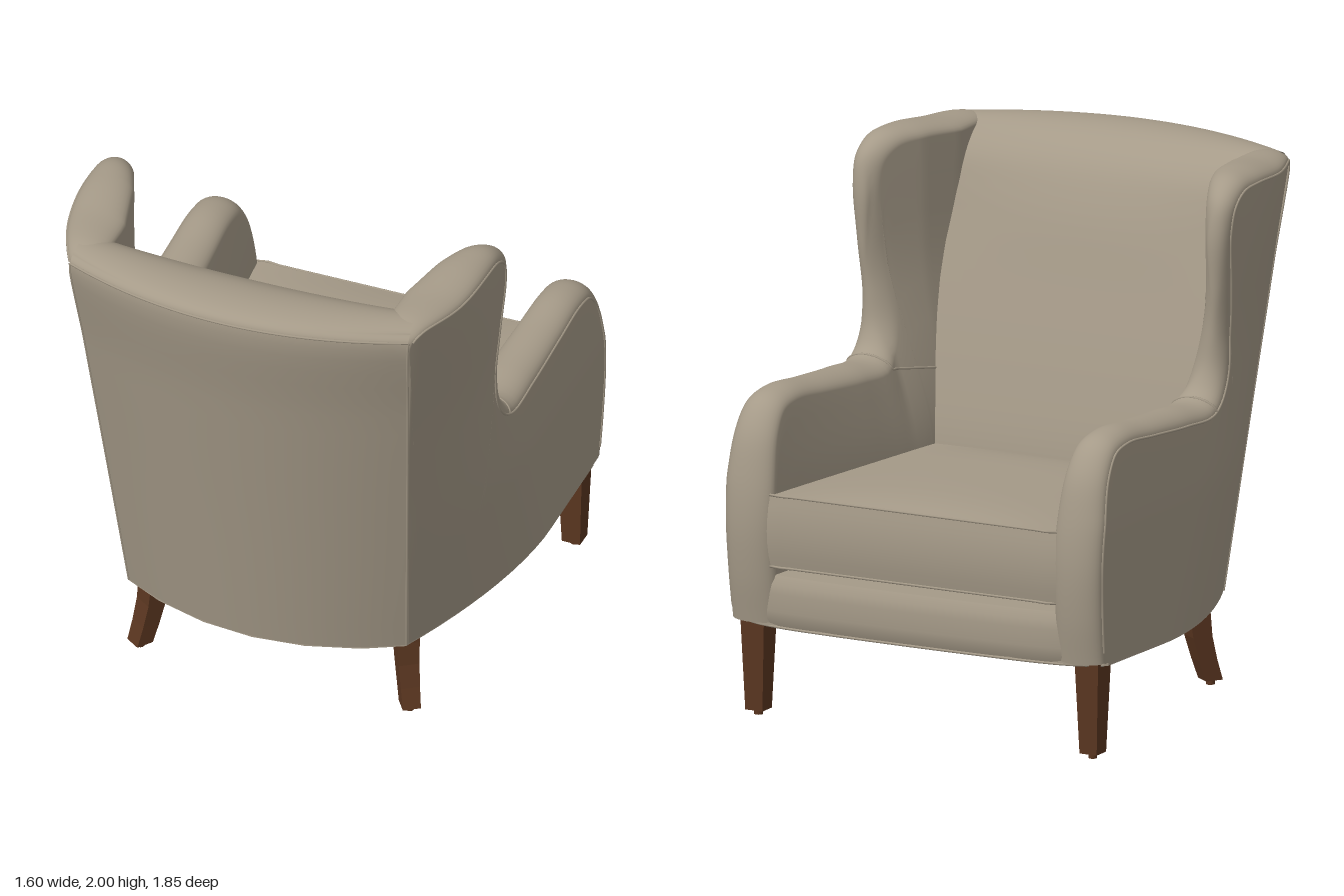
import * as THREE from 'three';

const leather = new THREE.MeshStandardMaterial({ color: 0xa59a88, side: THREE.DoubleSide });
leather.name = 'taupe leather';
const wood = new THREE.MeshStandardMaterial({ color: 0x5a3620 });
wood.name = 'brown wood';

const { lerp, smoothstep, clamp } = THREE.MathUtils;

// Piecewise linear lookup in [key, value] pairs
function table(pairs, k) {
  for (let i = 1; i < pairs.length; i++) {
    const [a, va] = pairs[i - 1], [b, vb] = pairs[i];
    if (k <= b) return lerp(va, vb, clamp((k - a) / (b - a), 0, 1));
  }
  return pairs[pairs.length - 1][1];
}

// Smooth surface from a function of two parameters in 0..1
function surface(nu, nv, fn, flip) {
  const pos = [], idx = [];
  for (let i = 0; i <= nu; i++)
    for (let j = 0; j <= nv; j++) pos.push(...fn(i / nu, j / nv));
  for (let i = 0; i < nu; i++)
    for (let j = 0; j < nv; j++) {
      const a = i * (nv + 1) + j, b = a + nv + 1, c = b + 1, d = a + 1;
      if (flip) idx.push(a, d, b, b, d, c);
      else idx.push(a, b, d, b, c, d);
    }
  const g = new THREE.BufferGeometry();
  g.setAttribute('position', new THREE.Float32BufferAttribute(pos, 3));
  g.setIndex(idx);
  g.computeVertexNormals();
  return g;
}

const curve = (pts) => new THREE.CatmullRomCurve3(pts.map((p) => new THREE.Vector3(...p)));

// Built with the seat facing +z, turned round at the end
const SIDE = [ // outline z, y, edge radius, matching z on the bottom edge
  [-0.48, 0.34, 0.01, -0.44], [-0.62, 1.1, 0.01, -0.43], [-0.72, 1.7, 0.015, -0.42],
  [-0.758, 1.91, 0.02, -0.41], [-0.71, 1.965, 0.03, -0.4], [-0.5, 1.985, 0.045, -0.37],
  [-0.3, 2.0, 0.05, -0.33], [-0.17, 1.985, 0.05, -0.31], [-0.085, 1.92, 0.05, -0.29],
  [-0.053, 1.8, 0.05, -0.27], [-0.06, 1.6, 0.065, -0.25], [-0.075, 1.42, 0.065, -0.23],
  [-0.06, 1.27, 0.065, -0.17], [0, 1.19, 0.055, -0.03], [0.2, 1.19, 0.055, 0.17],
  [0.45, 1.205, 0.05, 0.38], [0.66, 1.22, 0.05, 0.55], [0.78, 1.19, 0.05, 0.66],
  [0.86, 1.09, 0.05, 0.73], [0.905, 0.93, 0.05, 0.78], [0.923, 0.75, 0.05, 0.81],
  [0.912, 0.55, 0.05, 0.83], [0.885, 0.37, 0.045, 0.835],
];
const outline = curve(SIDE.map((p) => [p[0], p[1], p[2]]));
const footLine = curve(SIDE.map((p) => [p[3], 0.34 + 0.025 * (p[3] + 0.5), 0]));

// Outer and inner faces of the arm and wing
function outerX(z, y) {
  const full = table([[0.34, 0.775], [0.9, 0.79], [1.15, 0.775], [1.4, 0.765], [1.9, 0.795]], y);
  const k = clamp((y - 0.34) / 1.59, 0, 1);
  const d = clamp((z - lerp(-0.48, -0.76, k)) / lerp(0.85, 0.5, k), 0, 1);
  return full - (full - lerp(0.55, 0.67, k)) * (1 - d) ** lerp(1.7, 2.4, k);
}
// Inner reach near the top: wings splay and thin forward, arms lean out a little
const INNER_TOP = [[-0.5, 0.555], [-0.3, 0.605], [-0.07, 0.695], [0, 0.665], [0.2, 0.65]];
function innerX(z, y) {
  const low = 0.59 + 0.08 * (z - 0.9);
  const high = Math.max(low, table(INNER_TOP, z));
  return Math.min(lerp(low, high, smoothstep(y, 0.75, 1.6)), outerX(z, y) - 0.04);
}

// Point on an arm and wing: s runs along the outline, k goes up the outer face, over the rim, down inside
const K1 = 0.3, K2 = 0.7;
function sidePoint(s, k, sign) {
  const p = outline.getPoint(s), b = footLine.getPoint(s);
  const q0 = outline.getPoint(Math.max(0, s - 0.004)), q1 = outline.getPoint(Math.min(1, s + 0.004));
  const n = new THREE.Vector2(q0.y - q1.y, q1.x - q0.x).normalize();
  const r = p.z, iz = p.x - n.x * r, iy = p.y - n.y * r;
  const a = clamp((k - K1) / (K2 - K1), 0, 1) * Math.PI;
  const v = k < K1 ? k / K1 : k > K2 ? (1 - k) / (1 - K2) : 1;
  const z = lerp(b.x, iz, v) + n.x * r * Math.sin(a);
  const y = lerp(b.y, iy, v) + n.y * r * Math.sin(a);
  const o = outerX(z, y), i = innerX(z, y);
  return [sign * ((o + i) / 2 + ((o - i) / 2) * Math.cos(a)), y, z];
}

// Seam between arm and wing: over the rim, then back along the inner face
function wingSeamPoint(t, sign) {
  if (t <= 0.6) return sidePoint(13 / 22, lerp(K1, K2, t / 0.6), sign);
  const [, y0, z0] = sidePoint(13 / 22, K2, sign);
  const q = (t - 0.6) / 0.4, z = lerp(z0, -0.27, q), y = lerp(y0, 1.1, q);
  return [sign * innerX(z, y), y, z];
}

// Backrest loop: z, y, half width, share of the rear bow
const BACK = [
  [-0.2, 0.4, 0.52, 0], [-0.2, 0.8, 0.54, 0], [-0.27, 1.1, 0.6, 0], [-0.38, 1.45, 0.64, 0],
  [-0.47, 1.72, 0.66, 0], [-0.56, 1.88, 0.66, 0.2], [-0.68, 1.965, 0.66, 0.5], [-0.8, 1.985, 0.66, 0.8],
  [-0.895, 1.965, 0.668, 1], [-0.92, 1.935, 0.67, 1], [-0.85, 1.53, 0.64, 1],
  [-0.745, 0.94, 0.595, 1], [-0.64, 0.34, 0.55, 1],
];
const backLoop = curve(BACK.map((p) => [p[0], p[1], p[2]]));
const backBow = curve(BACK.map((p) => [p[3], 0, 0]));
function backPoint(u, v) {
  const p = backLoop.getPoint(v), w = 2 * u - 1;
  const top = smoothstep(p.y, 1.8, 1.95);
  return [w * p.z, p.y - 0.015 * top * w * w, p.x + 0.16 * backBow.getPoint(v).x * w * w];
}

// Seat cushion: unit cube coordinates to a tapered, crowned pad, higher at the front
function cushionPoint(u, h, w) {
  const z = lerp(-0.22, 0.885, (w + 1) / 2);
  const bulge = 0.015 * (1 - h * h);
  const half = 0.6 + 0.08 * (z - 0.9);
  const crown = (1 - u * u) * (1 - w ** 4);
  const y = 0.71 + 0.015 * w + h * 0.135 + (h > 0 ? 0.035 * crown * h : 0);
  return [u * (half + bulge), y, z + w * bulge];
}

function mappedBox(nx, ny, nz, fn) {
  const g = new THREE.BoxGeometry(2, 2, 2, nx, ny, nz), p = g.attributes.position;
  for (let i = 0; i < p.count; i++) p.setXYZ(i, ...fn(p.getX(i), p.getY(i), p.getZ(i)));
  g.computeVertexNormals();
  return g;
}

// Square leg lofted through [x, y, z, half width]
function legGeometry(sections) {
  const pos = [], idx = [], n = sections.length;
  for (const [x, y, z, h] of sections)
    for (const [a, b] of [[-1, -1], [-1, 1], [1, 1], [1, -1]]) pos.push(x + a * h, y, z + b * h);
  for (let i = 0; i < n - 1; i++)
    for (let j = 0; j < 4; j++) {
      const a = i * 4 + j, b = i * 4 + ((j + 1) % 4);
      idx.push(a, b, a + 4, b, b + 4, a + 4);
    }
  const e = (n - 1) * 4;
  idx.push(0, 2, 1, 0, 3, 2, e, e + 1, e + 2, e, e + 2, e + 3);
  let g = new THREE.BufferGeometry();
  g.setAttribute('position', new THREE.Float32BufferAttribute(pos, 3));
  g.setIndex(idx);
  g = g.toNonIndexed();
  g.computeVertexNormals();
  return g;
}

export function createModel() {
  const group = new THREE.Group();
  group.name = 'armchairBody';
  const add = (name, geometry, material = leather) => {
    const m = new THREE.Mesh(geometry, material);
    m.name = name;
    group.add(m);
    return m;
  };
  const piping = (name, fn, n, closed = false) => {
    const pts = Array.from({ length: n + 1 }, (_, i) => fn(i / n));
    if (closed) pts.pop();
    const c = new THREE.CatmullRomCurve3(pts.map((p) => new THREE.Vector3(...p)), closed);
    add(name, new THREE.TubeGeometry(c, n * 2, 0.005, 6, closed));
  };

  // Backrest with its top welt
  add('backrest', surface(24, 72, backPoint));
  piping('backTopPiping', (t) => backPoint(t, 9 / 12), 20);

  // Arms with wings, seams and legs on both sides
  for (const sign of [1, -1]) {
    const side = sign > 0 ? 'left' : 'right';
    add(side + 'ArmAndWing', surface(132, 40, (s, k) => sidePoint(s, k, sign), sign > 0));
    piping(side + 'OuterPiping', (t) => sidePoint(lerp(0.14, 0.99, t), K1, sign), 90);
    piping(side + 'WingSeam', (t) => wingSeamPoint(t, sign), 20);
    piping(side + 'BackSeam', (t) => backPoint((sign + 1) / 2, lerp(9 / 12, 1, t)), 20);

    add(side + 'FrontLeg', legGeometry([[sign * 0.7, 0.02, 0.79, 0.036], [sign * 0.7, 0.39, 0.79, 0.05]]), wood);
    const rear = add(side + 'RearLeg', legGeometry([
      [0, 0.02, -0.06, 0.034], [0, 0.1, -0.034, 0.036], [0, 0.19, -0.01, 0.039],
      [0, 0.28, 0.002, 0.042], [0, 0.36, 0.004, 0.043]]), wood);
    rear.position.set(sign * 0.5, 0, -0.36);
    rear.rotation.y = -sign * 0.61;
    for (const [x, z] of [[0.7, 0.79], [0.534, -0.409]]) {
      const glide = add(side + 'LegGlide', new THREE.CylinderGeometry(0.016, 0.016, 0.03, 12), wood);
      glide.position.set(sign * x, 0.015, z);
    }
  }

  // Loose seat cushion with welts round both edges
  add('seatCushion', mappedBox(20, 6, 20, cushionPoint));
  for (const h of [1, -1])
    piping(h > 0 ? 'cushionTopPiping' : 'cushionBottomPiping', (t) => {
      const a = t * 4, i = Math.floor(a) % 4, f = 2 * (a - Math.floor(a)) - 1;
      return cushionPoint(...[[f, h, 1], [1, h, -f], [-f, h, -1], [-1, h, f]][i]);
    }, 48, true);

  // Front rail, bowed and wrapped at the ends
  const railFront = (u) => 0.905 - 0.02 * u * u - 0.06 * u ** 8;
  add('frontRail', mappedBox(24, 6, 2, (u, h, w) => [
    u * 0.755, 0.455 + h * 0.1,
    w < 0.5 ? lerp(0.6, 0.72, w + 1) : railFront(u) - 0.02 * h ** 4]));
  piping('railPiping', (t) => [(2 * t - 1) * 0.755, 0.36, railFront(2 * t - 1) - 0.015], 24);

  // Underside panel following the plan of the body
  const plan = [];
  for (let i = 0; i <= 16; i++) {
    const z = lerp(-0.48, 0.8, i / 16);
    plan.push([outerX(z, 0.35) - 0.004, z]);
  }
  plan.push([0.745, 0.82], [0.66, 0.865], [0.4, 0.885], [0, 0.89]);
  const half = [[0, -0.635], [0.2, -0.615], [0.4, -0.555], ...plan];
  const pts = [...half, ...half.slice(1, -1).reverse().map(([x, z]) => [-x, z])];
  const base = new THREE.ExtrudeGeometry(new THREE.Shape(pts.map((p) => new THREE.Vector2(...p))),
    { depth: 0.03, bevelEnabled: false });
  base.rotateX(Math.PI / 2);
  const bp = base.attributes.position;
  for (let i = 0; i < bp.count; i++) bp.setY(i, bp.getY(i) + 0.36 + 0.02 * (bp.getZ(i) + 0.64));
  base.computeVertexNormals();
  add('underside', base);

  // The backrest faces +z
  group.rotation.y = Math.PI;
  const model = new THREE.Group();
  model.name = 'armchair';
  model.add(group);
  return model;
}
